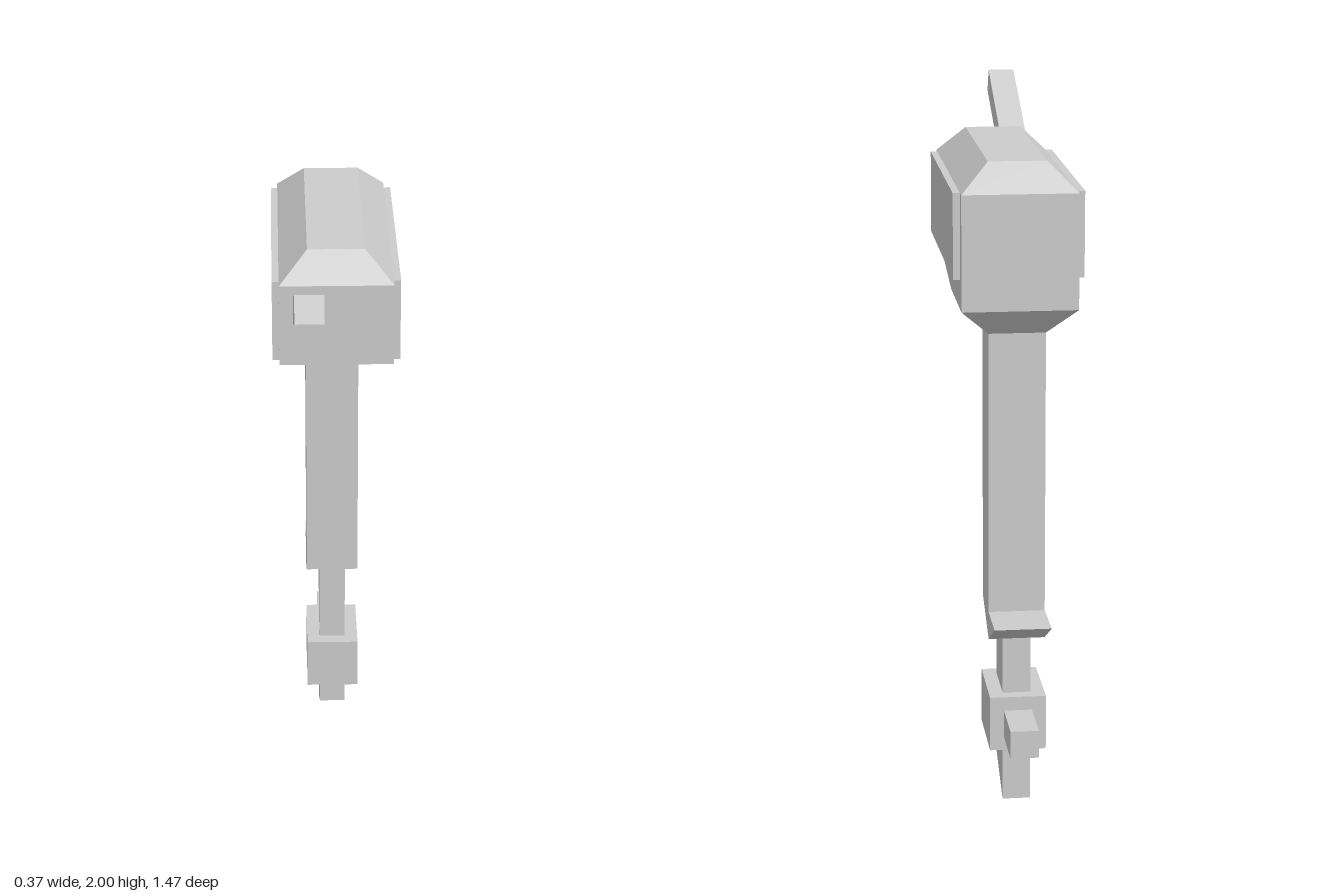
import * as THREE from 'three';

const material = new THREE.MeshStandardMaterial({ color: 0xcccccc, flatShading: true });

export function createModel() {
  const group = new THREE.Group();

  const add = (name, geometry) => {
    const mesh = new THREE.Mesh(geometry, material);
    mesh.name = name;
    group.add(mesh);
    return mesh;
  };

  // Side profile given as [z, y] points, extruded across x
  const slab = (name, points, width, x = 0) => {
    const shape = new THREE.Shape(points.map(([z, y]) => new THREE.Vector2(-z, y)));
    const geometry = new THREE.ExtrudeGeometry(shape, { depth: width, bevelEnabled: false });
    geometry.translate(0, 0, -width / 2).rotateY(Math.PI / 2).translate(x, 0, 0);
    return add(name, geometry);
  };

  const box = (name, [x0, x1], [y0, y1], [z0, z1]) => {
    const geometry = new THREE.BoxGeometry(x1 - x0, y1 - y0, z1 - z0);
    geometry.translate((x0 + x1) / 2, (y0 + y1) / 2, (z0 + z1) / 2);
    return add(name, geometry);
  };

  // Tapered block; each end is { y, x: half width, z: [back, front] }
  const taper = (name, bottom, top) => {
    const geometry = new THREE.BoxGeometry(1, 1, 1);
    const p = geometry.attributes.position;
    for (let i = 0; i < p.count; i++) {
      const end = p.getY(i) > 0 ? top : bottom;
      p.setXYZ(i, Math.sign(p.getX(i)) * end.x, end.y, end.z[p.getZ(i) > 0 ? 1 : 0]);
    }
    geometry.computeVertexNormals();
    return add(name, geometry);
  };

  // Engine cowl: body with a sloping underside, chamfered lid, tapered neck
  slab('cowlBody', [[0.215, 1.82], [0.215, 1.575], [-0.28, 1.49], [-0.605, 1.49], [-0.605, 1.82]], 0.33);
  taper('cowlLid',
    { y: 1.82, x: 0.165, z: [-0.605, 0.215] },
    { y: 1.9, x: 0.083, z: [-0.525, 0.135] });
  taper('cowlNeck',
    { y: 1.41, x: 0.082, z: [-0.525, -0.36] },
    { y: 1.49, x: 0.165, z: [-0.605, -0.28] });

  // Raised panels on both sides of the cowl
  box('leftPanel', [0.155, 0.185], [1.575, 1.82], [-0.565, 0.18]);
  box('rightPanel', [-0.185, -0.155], [1.575, 1.82], [-0.565, 0.18]);

  // Steering handle, offset to the right
  slab('tillerHandle', [[0.70, 2.0], [0.735, 1.93], [0.2, 1.695], [0.2, 1.78]], 0.08, -0.085);

  // Leg with a slanted lower end and a splash fin behind it
  slab('leg', [[-0.36, 1.41], [-0.36, 0.583], [-0.525, 0.5], [-0.525, 1.41]], 0.164);
  slab('splashFin', [[-0.525, 0.583], [-0.525, 0.5], [-0.69, 0.583]], 0.164);

  // Lower strut ending in a skeg, gear housing and propeller shaft
  slab('lowerStrut', [[-0.36, 0.6], [-0.36, 0.083], [-0.525, 0], [-0.525, 0.51]], 0.082);
  box('gearHousing', [-0.082, 0.082], [0.17, 0.333], [-0.565, -0.318]);
  box('propellerShaft', [-0.041, 0.041], [0.21, 0.292], [-0.735, -0.555]);

  return group;
}
